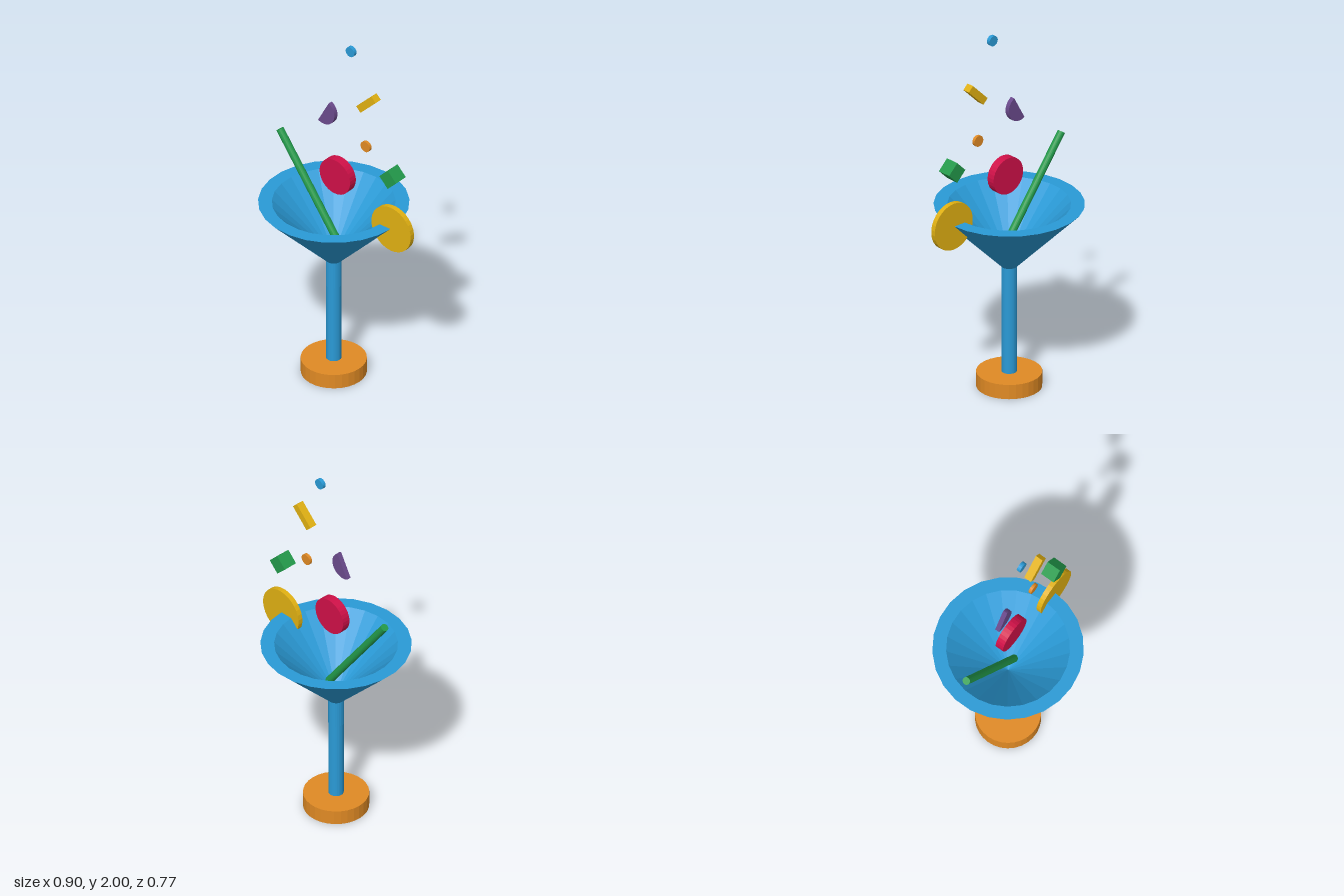
import * as THREE from 'three';

const COLORS = {
  blue: 0x2a9ad6, orange: 0xe08a24, yellow: 0xe0b012,
  green: 0x22994a, red: 0xd01048, purple: 0x6b4a8c,
};
const AXIS_X = -0.069; // centre line of the glass

export function createModel() {
  const model = new THREE.Group();
  model.name = 'cocktail';

  const add = (name, geometry, color, x, y, tilt = 0) => {
    const material = new THREE.MeshStandardMaterial({ color: COLORS[color], flatShading: true });
    const mesh = new THREE.Mesh(geometry, material);
    mesh.name = name;
    mesh.position.set(x, y, 0);
    mesh.rotation.z = tilt;
    model.add(mesh);
    return mesh;
  };

  // Upright cylinder with a corner on +x
  const post = (r, h, sides) => new THREE.CylinderGeometry(r, r, h, sides).rotateY(Math.PI / 2);
  // Thin round slice facing the front
  const disc = (r, depth, sides = 30) => new THREE.CylinderGeometry(r, r, depth, sides).rotateX(Math.PI / 2);

  // Glass: foot, stem and thick-walled conical bowl with a short neck
  add('foot', post(0.168, 0.08, 30), 'orange', AXIS_X, 0.04);
  add('stem', post(0.039, 0.6, 25), 'blue', AXIS_X, 0.38);
  const profile = [[0, 0.52], [0.04, 0.52], [0.04, 0.67], [0.384, 1.018], [0.314, 1.018], [0, 0.7]]
    .map(([r, y]) => new THREE.Vector2(r, y));
  add('bowl', new THREE.LatheGeometry(profile, 25).rotateY(Math.PI / 2), 'blue', AXIS_X, 0);

  // Straw leaning on the rim, its foot inside the bowl
  const top = new THREE.Vector2(-0.422, 1.312);
  const end = new THREE.Vector2(-0.012, 0.75);
  const run = top.clone().sub(end);
  add('straw', new THREE.CylinderGeometry(0.02, 0.02, run.length(), 20), 'green',
    (top.x + end.x) / 2, (top.y + end.y) / 2, Math.atan2(-run.x, run.y));

  // Fruit
  add('citrusSlice', disc(0.129, 0.027), 'yellow', 0.318, 1.018);
  add('cherry', disc(0.1, 0.046), 'red', -0.043, 1.19);

  // Pieces floating above the glass
  add('greenCube', new THREE.BoxGeometry(0.078, 0.078, 0.078), 'green', 0.317, 1.329, Math.PI / 4);
  add('orangeDot', disc(0.03, 0.016, 20), 'orange', 0.143, 1.44);
  add('yellowBar', new THREE.BoxGeometry(0.14, 0.04, 0.042), 'yellow', 0.159, 1.708, Math.PI / 4);
  add('blueDot', disc(0.028, 0.02, 20), 'blue', 0.045, 1.972);

  // Half disc, its flat side facing up and to the left
  const half = new THREE.Shape();
  half.absarc(0, 0, 0.072, -Math.PI / 2, Math.PI / 2, false);
  half.closePath();
  const halfDisc = new THREE.ExtrudeGeometry(half, { depth: 0.025, bevelEnabled: false, curveSegments: 15 });
  add('purpleHalfDisc', halfDisc.translate(0, 0, -0.0125), 'purple', -0.127, 1.544, -0.5);

  return model;
}
